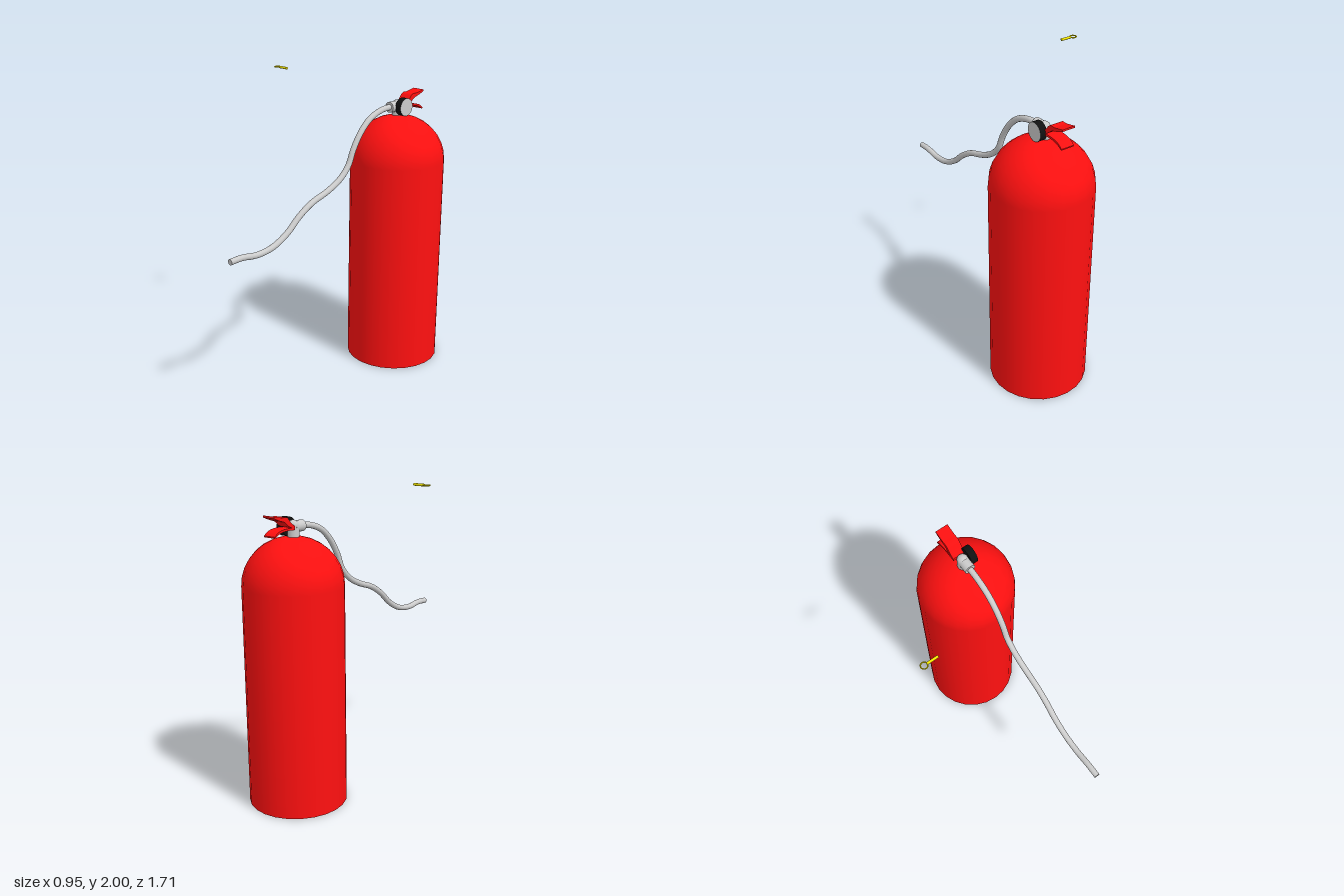
import * as THREE from 'three';

const mat = (color, extra = {}) => new THREE.MeshStandardMaterial({ color, ...extra });

export function createModel() {
  const root = new THREE.Group();
  const red = mat(0xff1010), grey = mat(0xcccccc), black = mat(0x111111), yellow = mat(0xf2e500);
  const V = (x, y, z) => new THREE.Vector3(x, y, z);
  const add = (name, geometry, material, x = 0, y = 0, z = 0) => {
    const mesh = new THREE.Mesh(geometry, material);
    mesh.name = name;
    mesh.position.set(x, y, z);
    root.add(mesh);
    return mesh;
  };

  // Tank: straight wall with a domed shoulder
  const cx = 0.16, cz = -0.543, R = 0.312, shoulder = 1.4, domeH = 0.298;
  const wall = [new THREE.Vector2(R, 0)];
  for (let i = 0; i <= 8; i++) {
    const a = (i / 8) * Math.PI / 2;
    wall.push(new THREE.Vector2(i === 8 ? 0 : R * Math.cos(a), shoulder + domeH * Math.sin(a)));
  }
  add('tank', new THREE.LatheGeometry(wall, 24), red, cx, 0, cz);
  add('tankBase', new THREE.CircleGeometry(R, 24).rotateX(Math.PI / 2), grey, cx, 0, cz);

  // Valve: upright stem with rounded top, and a coupling towards the hose
  const vx = 0.15, vy = 1.753;
  add('valveStem', new THREE.CylinderGeometry(0.035, 0.035, 0.09, 20), grey, vx, 1.715, cz);
  add('valveTop', new THREE.SphereGeometry(0.035, 20, 8, 0, Math.PI * 2, 0, Math.PI / 2), grey, vx, 1.76, cz);
  add('hoseCoupling', new THREE.CylinderGeometry(0.035, 0.035, 0.085, 20).rotateX(Math.PI / 2),
    grey, vx, vy, -0.508);

  // Pressure gauge: black drum with a grey dial
  add('gauge', new THREE.CylinderGeometry(0.058, 0.058, 0.045, 24).rotateZ(-Math.PI / 2),
    [black, grey, black], 0.203, vy, -0.548);

  // Levers: side profiles given as [distance back, height], extruded across the width
  const lever = (name, top, bottom) => {
    const shape = new THREE.Shape();
    shape.moveTo(...top[0]);
    shape.splineThru(top.slice(1).map(p => new THREE.Vector2(...p)));
    shape.lineTo(...bottom[0]);
    shape.splineThru(bottom.slice(1).map(p => new THREE.Vector2(...p)));
    const g = new THREE.ExtrudeGeometry(shape, { depth: 0.085, bevelEnabled: false, curveSegments: 12 });
    add(name, g.rotateY(Math.PI / 2), red, 0.106, 0, 0);
  };
  lever('squeezeLever',
    [[0.575, 1.765], [0.605, 1.785], [0.64, 1.822], [0.685, 1.826], [0.75, 1.84]],
    [[0.75, 1.828], [0.705, 1.81], [0.66, 1.795], [0.62, 1.765], [0.575, 1.75]]);
  lever('carryHandle',
    [[0.575, 1.755], [0.64, 1.757], [0.685, 1.753], [0.72, 1.742], [0.748, 1.722]],
    [[0.745, 1.713], [0.715, 1.73], [0.68, 1.741], [0.64, 1.744], [0.575, 1.742]]);

  // Hose: swept along [z, y] points
  const path = [[-0.48, 1.755], [-0.39, 1.745], [-0.29, 1.706], [-0.206, 1.63], [-0.14, 1.53],
    [-0.095, 1.43], [-0.02, 1.355], [0.085, 1.3], [0.217, 1.253], [0.32, 1.19], [0.42, 1.105],
    [0.534, 1.045], [0.656, 1.026], [0.77, 1.038], [0.857, 1.034]];
  const curve = new THREE.CatmullRomCurve3(path.map(([z, y]) => V(vx, y, z)));
  add('hose', new THREE.TubeGeometry(curve, 80, 0.019, 14), grey);
  add('hoseEnd', new THREE.CircleGeometry(0.019, 14), grey, vx, 1.034, 0.857);

  // Loose safety pin: ring and rod
  add('pinRing', new THREE.TorusGeometry(0.02, 0.004, 8, 24).rotateX(Math.PI / 2), yellow, -0.453, 1.992, -0.038);
  add('pinRod', new THREE.CylinderGeometry(0.008, 0.008, 0.073, 12).rotateZ(Math.PI / 2),
    yellow, -0.3985, 1.992, -0.038);

  return root;
}
